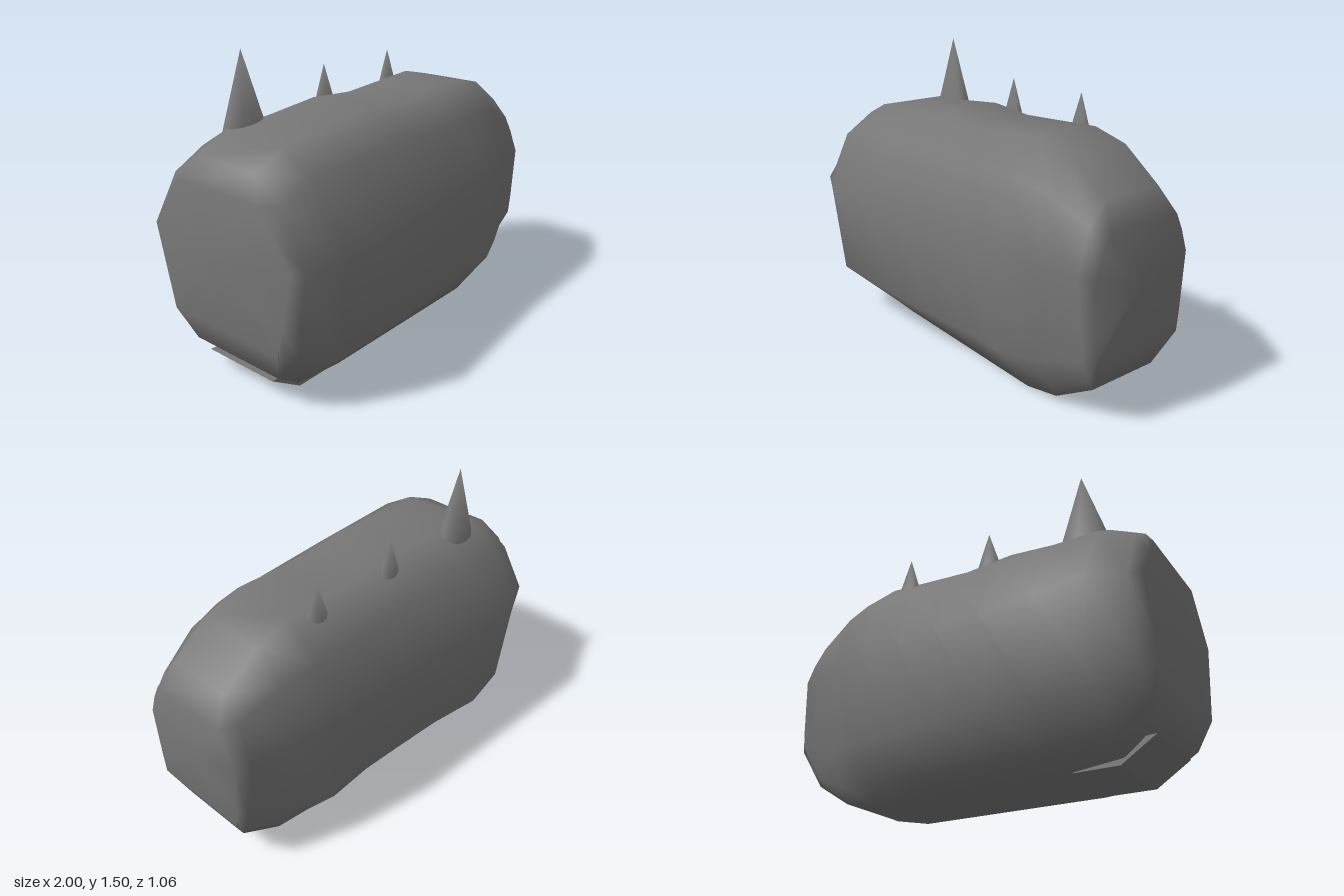
import * as THREE from 'three';
import { mergeVertices } from 'three/addons/utils/BufferGeometryUtils.js';

const material = new THREE.MeshStandardMaterial({ color: 0x777777 });

// Body stations along x:
// [x, bottom, lowerY, shoulderY, top, bottomZ, lowerZ, backLowerZ, midZ, shoulderZ, topZ]
const stations = [
  [-1.00, 0.32, 0.45, 0.88, 0.98, 0.34, 0.37, 0.37, 0.435, 0.33, 0.26],
  [-0.94, 0.16, 0.32, 0.98, 1.085, 0.27, 0.40, 0.40, 0.46, 0.34, 0.18],
  [-0.77, 0.03, 0.26, 1.06, 1.16, 0.22, 0.485, 0.49, 0.53, 0.35, 0.19],
  [-0.50, 0.00, 0.26, 1.06, 1.18, 0.22, 0.48, 0.525, 0.505, 0.35, 0.18],
  [-0.22, 0.00, 0.26, 1.06, 1.21, 0.22, 0.465, 0.47, 0.475, 0.35, 0.17],
  [0.04, 0.00, 0.26, 1.06, 1.19, 0.22, 0.44, 0.44, 0.45, 0.345, 0.17],
  [0.28, 0.00, 0.26, 1.06, 1.205, 0.22, 0.415, 0.415, 0.425, 0.34, 0.17],
  [0.52, 0.00, 0.26, 1.06, 1.22, 0.22, 0.412, 0.415, 0.405, 0.33, 0.17],
  [0.71, 0.035, 0.27, 1.03, 1.175, 0.21, 0.34, 0.34, 0.36, 0.30, 0.17],
  [0.92, 0.16, 0.32, 0.93, 1.035, 0.19, 0.26, 0.24, 0.305, 0.25, 0.16],
  [1.00, 0.34, 0.45, 0.84, 0.92, 0.255, 0.265, 0.265, 0.28, 0.24, 0.20],
];

// Rounded block lofted through twelve-sided sections, closed at both ends
function bodyGeometry() {
  const positions = [], index = [], n = 12;
  for (const [x, y0, y1, y3, y4, z0, z1, back1, z2, z3, z4] of stations) {
    const side = (lower) => [
      [y4, z4], [y3, z3], [0.73, z2], [y1, lower],
      [y0 + 0.3 * (y1 - y0), z0 + 0.3 * (lower - z0)], [y0, z0],
    ];
    for (const [y, z] of side(z1)) positions.push(x, y, z);
    for (const [y, z] of side(back1).reverse()) positions.push(x, y, -z);
  }
  const last = (stations.length - 1) * n, endA = last + n, endB = endA + 1;
  positions.push(-1, 0.66, 0, 1, 0.64, 0);
  for (let j = 0; j < n; j++) {
    const k = (j + 1) % n;
    for (let i = 0; i < last; i += n) {
      index.push(i + j, i + k, i + n + k, i + j, i + n + k, i + n + j);
    }
    index.push(endA, k, j, endB, last + j, last + k);
  }
  const geometry = new THREE.BufferGeometry();
  geometry.setAttribute('position', new THREE.Float32BufferAttribute(positions, 3));
  geometry.setIndex(index);
  geometry.computeVertexNormals();
  return geometry;
}

// Oval cone with a softly shaded tip, standing on the back edge of the top
function spike(name, x, baseY, tipY, rx, rz) {
  const height = tipY - baseY;
  const cone = new THREE.ConeGeometry(1, height, 12, 1, true);
  cone.deleteAttribute('normal');
  cone.deleteAttribute('uv');
  cone.scale(rx, 1, rz);
  const geometry = mergeVertices(cone);
  geometry.computeVertexNormals();
  const mesh = new THREE.Mesh(geometry, material);
  mesh.position.set(x, baseY + height / 2, -0.2);
  mesh.name = name;
  return mesh;
}

export function createModel() {
  const group = new THREE.Group();
  group.name = 'spikedBoulder';

  const body = new THREE.Mesh(bodyGeometry(), material);
  body.name = 'body';
  group.add(body);

  group.add(
    spike('largeSpike', -0.645, 1.08, 1.505, 0.138, 0.078),
    spike('middleSpike', -0.11, 1.11, 1.355, 0.08, 0.043),
    spike('endSpike', 0.39, 1.11, 1.355, 0.08, 0.043),
  );

  // Thin wedge jutting out under one end
  const profile = new THREE.Shape([
    new THREE.Vector2(-0.92, 0.11), new THREE.Vector2(-0.75, 0),
    new THREE.Vector2(-0.53, 0), new THREE.Vector2(-0.7, 0.1),
  ]);
  const lip = new THREE.Mesh(
    new THREE.ExtrudeGeometry(profile, { depth: 0.42, bevelEnabled: false }), material);
  lip.position.z = -0.21;
  lip.name = 'bottomLip';
  group.add(lip);

  return group;
}
